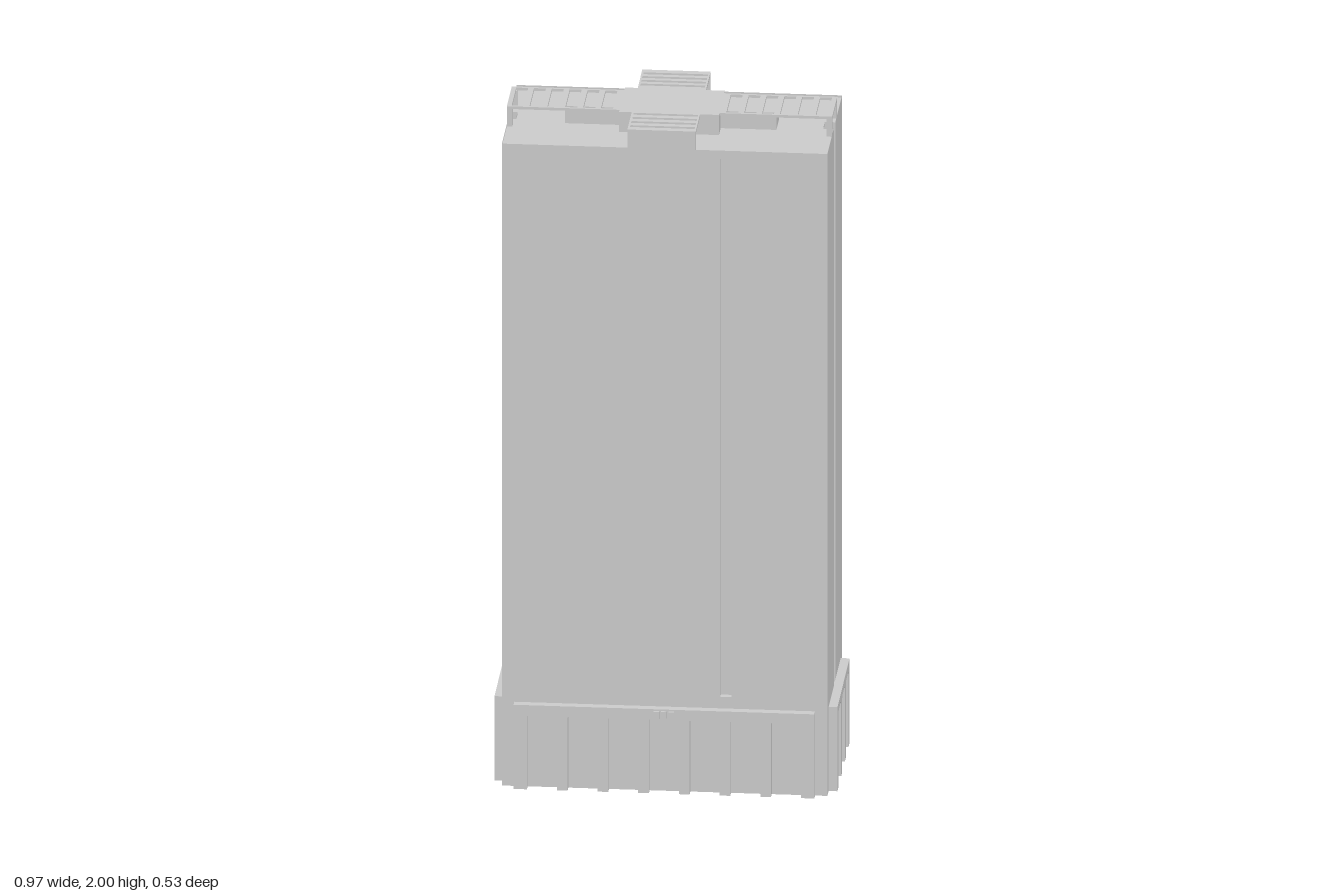
import * as THREE from 'three';

const grey = new THREE.MeshStandardMaterial({ color: 0xcccccc, flatShading: true });
const thin = new THREE.MeshStandardMaterial({ color: 0xcccccc, flatShading: true, side: THREE.DoubleSide });
const W = 0.462, D = 0.232, H = 1.945, TOP = 2; // half width, half depth, wall height, full height

function add(parent, name, geometry, material = grey) {
  const mesh = new THREE.Mesh(geometry, material);
  mesh.name = name;
  parent.add(mesh);
  return mesh;
}

// Box given by its min and max corners
function box(parent, name, x0, x1, y0, y1, z0, z1) {
  const g = new THREE.BoxGeometry(x1 - x0, y1 - y0, z1 - z0);
  g.translate((x0 + x1) / 2, (y0 + y1) / 2, (z0 + z1) / 2);
  return add(parent, name, g);
}

const outline = pts => new THREE.Shape(pts.map(p => new THREE.Vector2(...p)));
const rect = (x0, x1, y0, y1) => [[x0, y0], [x1, y0], [x1, y1], [x0, y1]];

// Inside of a groove: a box without its outer face (and top, if it runs out at the roof)
function groove(parent, x0, x1, y0, y1, depth, openTop) {
  const g = new THREE.BoxGeometry(x1 - x0, y1 - y0, depth);
  g.translate((x0 + x1) / 2, (y0 + y1) / 2, -depth / 2);
  const index = Array.from(g.index.array);
  g.setIndex(index.filter((v, i) => !(i >= 24 && i < 30) && !(openTop && i >= 12 && i < 18)));
  g.clearGroups();
  add(parent, 'groove', g, thin);
}

// Podium panel with a row of openings that run down to the ground
function podiumPanel(parent, half, count, pitch, depth) {
  const w = 0.0425, top = 0.23, c = 0.008;
  const pts = [[half, 0], [half, 0.255], [-half, 0.255], [-half, 0]];
  for (let i = 0; i < count; i++) {
    const x = (i - (count - 1) / 2) * pitch;
    pts.push([x - w, 0], [x - w, top - c], [x - w + c, top], [x + w - c, top], [x + w, top - c], [x + w, 0]);
  }
  add(parent, 'podiumPanel', new THREE.ExtrudeGeometry(outline(pts), { depth, bevelEnabled: false }));
}

// Flat slotted grille lying on the roof, from x0 to x1 and z0 to z1
function grille(parent, name, x0, x1, z0, z1, slots) {
  const shape = outline(rect(x0, x1, -z1, -z0));
  for (const [a, b, c, d] of slots) shape.holes.push(outline(rect(a, b, -d, -c)));
  const g = new THREE.ExtrudeGeometry(shape, { depth: 0.008, bevelEnabled: false });
  g.rotateX(-Math.PI / 2).translate(0, TOP - 0.008, 0);
  add(parent, name, g);
}

function longSide(name, angle) {
  const side = new THREE.Group();
  side.name = name;
  side.rotation.y = angle;
  side.position.z = D * Math.cos(angle);
  const wall = outline(rect(-W, W, 0, H));
  wall.holes.push(outline(rect(0.158, 0.19, 0.29, 1.92)));
  add(side, 'wall', new THREE.ShapeGeometry(wall), thin);
  groove(side, 0.158, 0.19, 0.29, 1.92, 0.018, false);
  podiumPanel(side, 0.427, 7, 0.1155, 0.024);
  // small ribbed plate over the middle opening
  for (let i = -1; i <= 1; i++)
    box(side, 'entrancePlate', i * 0.021 - 0.008, i * 0.021 + 0.008, 0.228, 0.25, 0.024, 0.031);
  return side;
}

function shortSide(name, s, depth) {
  const side = new THREE.Group();
  side.name = name;
  side.rotation.y = s * Math.PI / 2;
  side.position.x = s * W;
  const g = 0.019;
  const wall = outline([[-D, 0], [D, 0], [D, H], [g, H], [g, 0.25], [-g, 0.25], [-g, H], [-D, H]]);
  add(side, 'wall', new THREE.ShapeGeometry(wall), thin);
  groove(side, -g, g, 0.25, H, depth, true);
  podiumPanel(side, 0.193, 3, 0.115, 0.025);
  return side;
}

export function createModel() {
  const model = new THREE.Group();
  model.name = 'towerBlock';
  model.add(longSide('frontSide', 0), longSide('backSide', Math.PI));
  model.add(shortSide('leftSide', 1, 0.03), shortSide('rightSide', -1, 0.022));

  // roof, just below the wall tops, notched around the end grooves
  const g = 0.019, a = W - 0.03, b = -W + 0.022;
  const roof = new THREE.ShapeGeometry(outline([
    [-W, -D], [W, -D], [W, -g], [a, -g], [a, g], [W, g], [W, D],
    [-W, D], [-W, g], [b, g], [b, -g], [-W, -g]]));
  roof.rotateX(-Math.PI / 2).translate(0, H - 0.006, 0);
  add(model, 'roof', roof, thin);

  // rooftop plant room
  const plant = new THREE.Group();
  plant.name = 'rooftopPlant';
  model.add(plant);
  box(plant, 'plantRoom', -0.142, 0.142, H - 0.006, TOP, -0.097, 0.095);

  // long grilles to both ends, each over a duct and on end posts
  for (const s of [1, -1]) {
    const span = (p, q) => (s > 0 ? [p, q] : [-q, -p]);
    const slots = [];
    for (let i = 0; i < 6; i++)
      slots.push([...span(0.161 + i * 0.0507, 0.195 + i * 0.0507), -0.069, 0.072]);
    grille(plant, 'endGrille', ...span(0.142, W), -0.077, 0.08, slots);
    box(plant, 'duct', ...span(0.142, 0.3), H - 0.006, TOP - 0.009, -0.042, 0.04);
    for (const z of [-0.077, 0.066])
      box(plant, 'endPost', ...span(0.446, W), H - 0.006, TOP - 0.008, z, z + 0.014);
  }

  // short grilles to the front and back, each closed by an end wall
  for (const [s, end, first, pitch] of [[1, 0.232, 0.107, 0.0325], [-1, 0.243, 0.125, 0.0295]]) {
    const span = (p, q) => (s > 0 ? [p, q] : [-q, -p]);
    const slots = [];
    for (let i = 0; i < 4; i++)
      slots.push([-0.1, 0.083, ...span(first + i * pitch - 0.007, first + i * pitch + 0.007)]);
    grille(plant, 'sideGrille', -0.106, 0.088, ...span(0.095, end), slots);
    box(plant, 'grilleEndWall', -0.106, 0.088, H - 0.006, TOP - 0.008, ...span(end - 0.015, end - 0.001));
  }
  return model;
}
